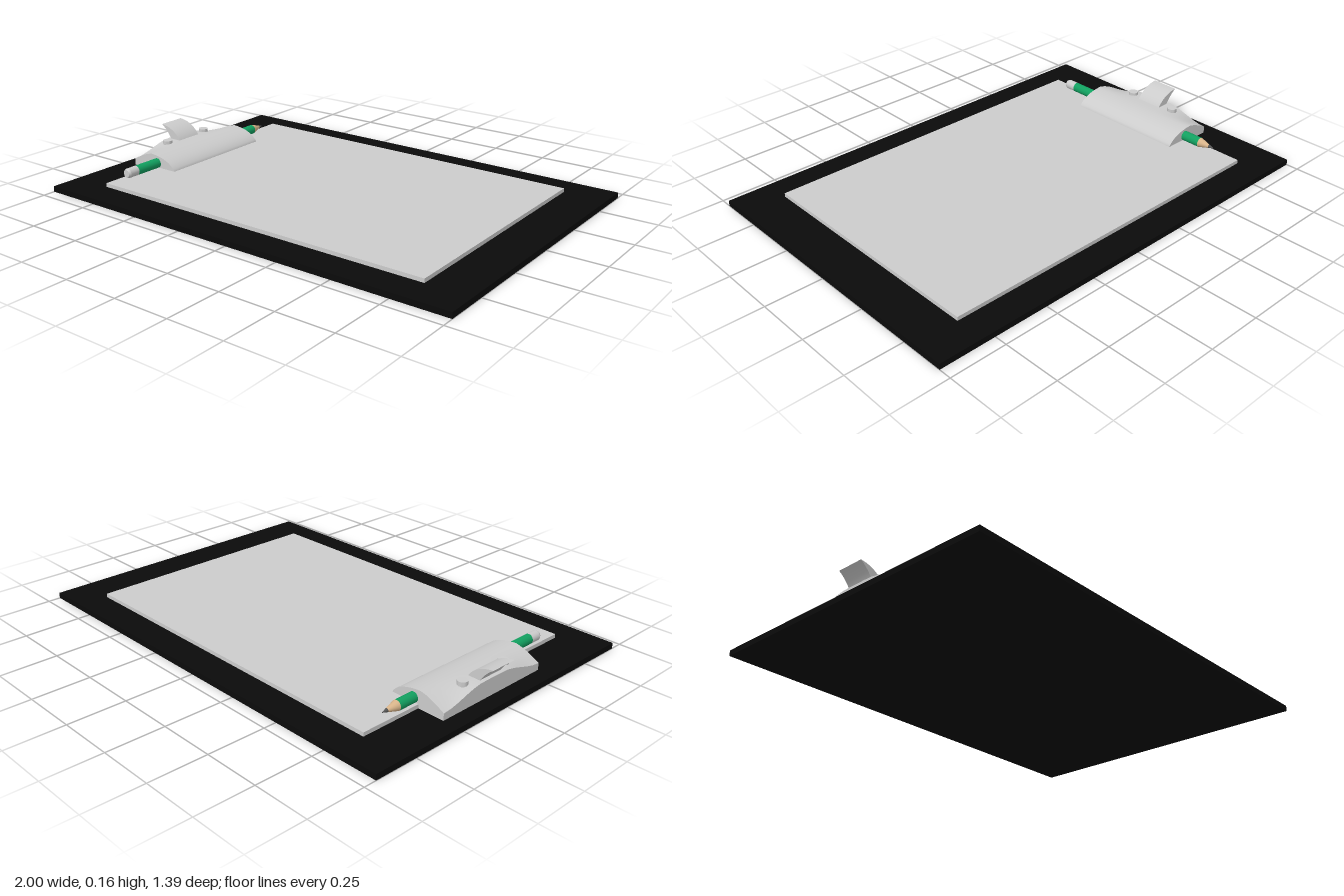
import * as THREE from 'three';
import { toCreasedNormals } from 'three/addons/utils/BufferGeometryUtils.js';

const paint = (color) => new THREE.MeshStandardMaterial({ color });

export function createModel() {
  const model = new THREE.Group();
  const grey = paint(0xcccccc);
  const add = (name, geometry, material, x = 0, y = 0, z = 0, parent = model) => {
    const mesh = new THREE.Mesh(geometry, material);
    mesh.name = name;
    mesh.position.set(x, y, z);
    parent.add(mesh);
    return mesh;
  };

  // Backing board and paper stack
  add('board', new THREE.BoxGeometry(2, 0.025, 1.39), paint(0x0a0a0a), 0, 0.0125, 0);
  add('paper', new THREE.BoxGeometry(1.62, 0.017, 1.125), grey, 0, 0.0335, 0);

  // Side profile (x, y) swept along z and centred
  const sweep = (shape, depth, steps) => {
    const g = new THREE.ExtrudeGeometry(shape, { depth, steps, bevelEnabled: false, curveSegments: 10 });
    return g.translate(0, 0, -depth / 2);
  };

  // Clip body: flat rear top, rounded nose
  const body = new THREE.Shape();
  body.moveTo(-0.93, 0.025);
  body.lineTo(-0.68, 0.025);
  body.lineTo(-0.68, 0.042);
  body.bezierCurveTo(-0.70, 0.078, -0.755, 0.098, -0.82, 0.1);
  for (const x of [-0.85, -0.88, -0.905, -0.93]) body.lineTo(x, 0.1);
  const bodyGeometry = sweep(body, 0.56, 14);

  // Rear top edge falls away towards both ends
  const p = bodyGeometry.attributes.position;
  for (let i = 0; i < p.count; i++) {
    const back = (-0.82 - p.getX(i)) / 0.11;
    if (back > 0 && p.getY(i) > 0.05) {
      const drop = 0.045 * THREE.MathUtils.smoothstep(Math.abs(p.getZ(i)), 0.06, 0.28);
      p.setY(i, p.getY(i) - drop * Math.pow(back, 1.4));
    }
  }
  const clip = new THREE.Group();
  clip.name = 'clip';
  model.add(clip);
  add('clipBody', toCreasedNormals(bodyGeometry, 0.6), grey, 0, 0, 0, clip);

  // Curled thumb lever
  const lever = new THREE.Shape();
  lever.moveTo(-0.855, 0.095);
  lever.bezierCurveTo(-0.87, 0.125, -0.91, 0.158, -0.97, 0.161);
  lever.bezierCurveTo(-0.945, 0.145, -0.925, 0.12, -0.91, 0.095);
  add('thumbLever', toCreasedNormals(sweep(lever, 0.125, 1), 0.6), grey, 0, 0, 0, clip);

  // Rivets either side of the lever
  for (const z of [-0.122, 0.118]) {
    add('rivet', toCreasedNormals(new THREE.CylinderGeometry(0.022, 0.022, 0.03, 12), 0.7), grey, -0.88, 0.097, z, clip);
  }

  // Pencil lying through the clip, built from segments along z
  const pencil = new THREE.Group();
  pencil.name = 'pencil';
  pencil.position.set(-0.785, 0.063, 0);
  model.add(pencil);
  const segment = (name, zStart, zEnd, rStart, rEnd, material) => {
    const g = new THREE.CylinderGeometry(rEnd, rStart, zEnd - zStart, 20);
    g.rotateX(Math.PI / 2);
    add(name, g, material, 0, 0, (zStart + zEnd) / 2, pencil);
  };
  segment('pencilLead', -0.445, -0.42, 0.001, 0.008, paint(0x555555));
  segment('pencilWood', -0.42, -0.37, 0.008, 0.022, paint(0xd8b48a));
  segment('pencilBarrel', -0.37, 0.41, 0.022, 0.022, paint(0x12a060));
  segment('eraser', 0.41, 0.458, 0.022, 0.022, grey);
  segment('eraserEnd', 0.458, 0.467, 0.022, 0.017, grey);

  return model;
}
